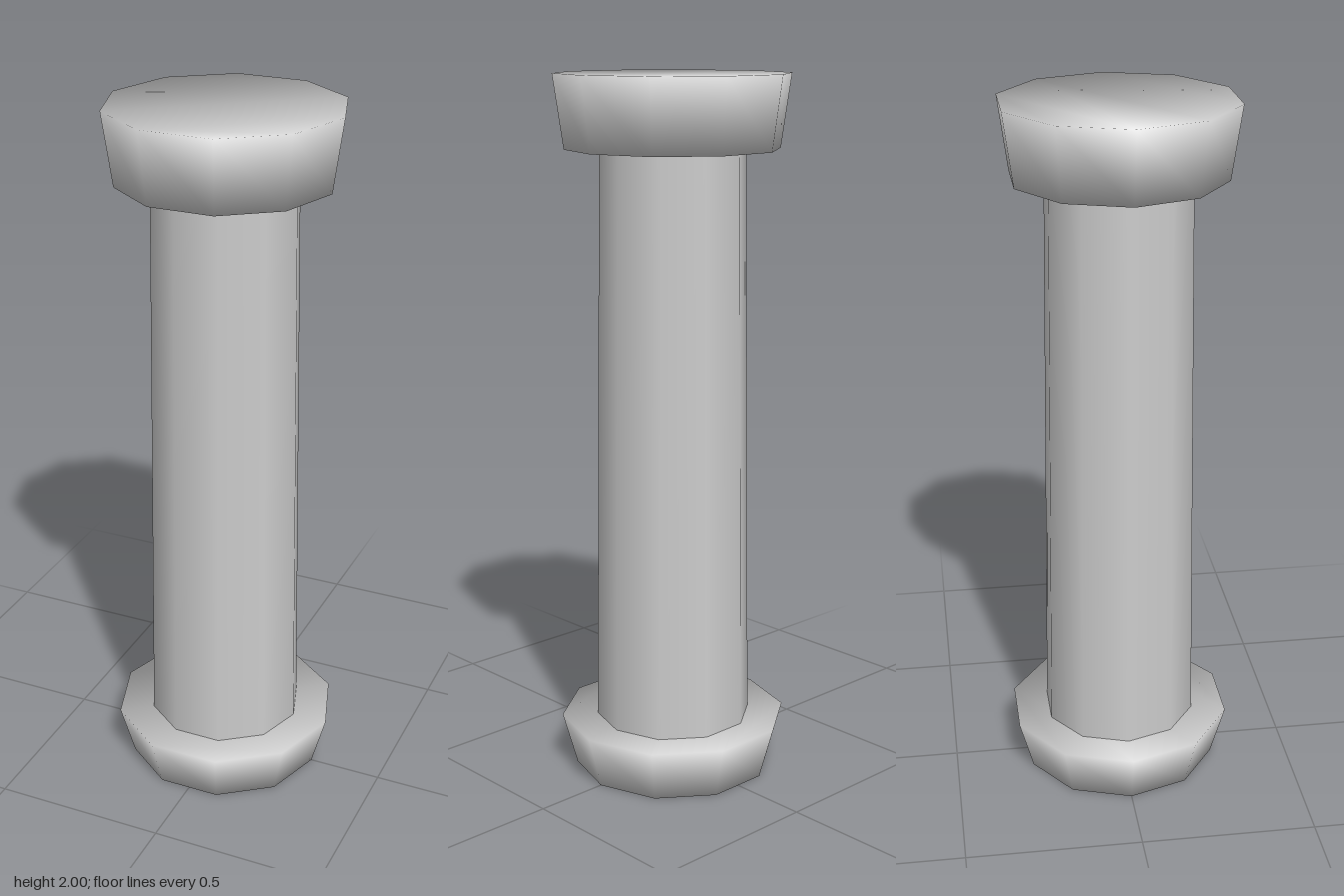
import * as THREE from 'three';

const SIDES = 10;

// Flared ten-sided drum with soft normals running over its rims.
function flaredDrum(bottomRadius, topRadius, y0, y1) {
  const position = [], normal = [], index = [];
  const lean = (topRadius - bottomRadius) / (y1 - y0);
  for (const [r, y, up] of [[bottomRadius, y0, -1], [topRadius, y1, 1]]) {
    for (let k = 0; k < SIDES; k++) {
      const a = (k / SIDES) * Math.PI * 2;
      const c = Math.cos(a), s = Math.sin(a);
      position.push(r * c, y, r * s);
      // blend of the two neighbouring side faces and the flat end
      const n = new THREE.Vector3(1.19 * c, 0.8 * up - lean, 1.19 * s).normalize();
      if (up > 0) n.set(1.19 * c, 1 - lean, 1.19 * s).normalize();
      else n.set(1.19 * c, -1 - lean, 1.19 * s).normalize();
      normal.push(n.x, n.y, n.z);
    }
  }
  // side walls
  for (let k = 0; k < SIDES; k++) {
    const j = (k + 1) % SIDES;
    index.push(k, k + SIDES, j + SIDES, k, j + SIDES, j);
  }
  // flat ends, as parallel strips
  for (let i = 0; i < SIDES / 2 - 1; i++) {
    const a = (SIDES + 1 - i) % SIDES, b = 2 + i;
    const d = (SIDES - i) % SIDES, c = 3 + i;
    index.push(a, b, c, a, c, d);
    index.push(...[a, c, b, a, d, c].map((v) => v + SIDES));
  }
  const g = new THREE.BufferGeometry();
  g.setAttribute('position', new THREE.Float32BufferAttribute(position, 3));
  g.setAttribute('normal', new THREE.Float32BufferAttribute(normal, 3));
  g.setIndex(index);
  return g;
}

export function createModel() {
  const group = new THREE.Group();
  group.name = 'column';
  const stone = new THREE.MeshStandardMaterial({ color: 0xcccccc });
  stone.name = 'pale grey stone';

  const add = (name, geometry) => {
    const mesh = new THREE.Mesh(geometry, stone);
    mesh.name = name;
    group.add(mesh);
  };

  add('base', flaredDrum(0.286, 0.328, 0, 0.152));
  add('capital', flaredDrum(0.299, 0.328, 1.797, 2));

  // Tapered shaft, with a corner on the x axis
  const shaft = new THREE.CylinderGeometry(0.203, 0.224, 1.645, SIDES, 1, true);
  shaft.rotateY(Math.PI / 2);
  shaft.translate(0, 0.152 + 1.645 / 2, 0);
  add('shaft', shaft);

  return group;
}
